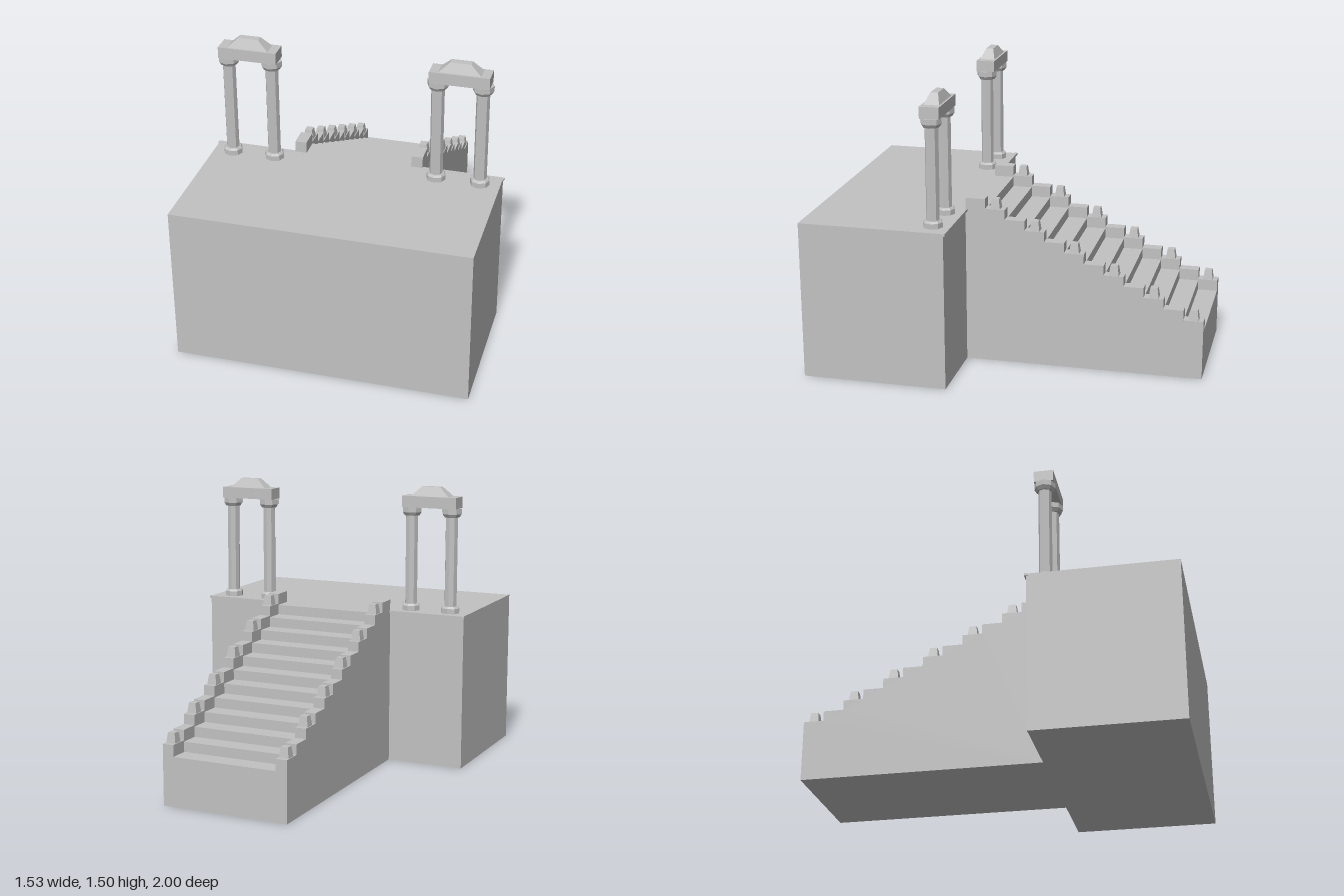
import * as THREE from 'three';

const stone = new THREE.MeshStandardMaterial({ color: 0xc2c2c2, flatShading: true });
stone.name = 'grey stone';

const FLOOR = 0.828, BACK = 0.245, STEPS = 12;
const RUN = (BACK + 1) / STEPS, RISE = 0.052;
const WALL_IN = 0.28, WALL_OUT = 0.34;

function add(parent, name, geometry, x = 0, y = 0, z = 0) {
  const mesh = new THREE.Mesh(geometry, stone);
  mesh.name = name;
  mesh.position.set(x, y, z);
  parent.add(mesh);
  return mesh;
}

// Box given by its bottom centre
function block(parent, name, w, h, d, x, y, z) {
  return add(parent, name, new THREE.BoxGeometry(w, h, d), x, y + h / 2, z);
}

// Four-sided frustum standing on y = 0, with unequal base sides
function frustum(w, d, h, topScale) {
  const r = Math.SQRT1_2;
  return new THREE.CylinderGeometry(r * topScale, r, 1, 4)
    .rotateY(Math.PI / 4).scale(w, h, d).translate(0, h / 2, 0);
}

// Stepped solid descending towards the back, between x0 and x1
function steppedSolid(topY, x0, x1) {
  const shape = new THREE.Shape();
  shape.moveTo(BACK, 0);
  for (let k = 0; k < STEPS; k++) {
    shape.lineTo(BACK - k * RUN, topY - k * RISE);
    shape.lineTo(BACK - (k + 1) * RUN, topY - k * RISE);
  }
  shape.lineTo(-1, 0);
  shape.closePath();
  return new THREE.ExtrudeGeometry(shape, { depth: x1 - x0, bevelEnabled: false })
    .rotateY(-Math.PI / 2).translate(x1, 0, 0);
}

// Octagonal column with base and capital, turned from one profile
function columnGeometry() {
  const profile = [
    [0, 0], [0.05, 0], [0.05, 0.027], [0.042, 0.037], [0.034, 0.037],
    [0.034, 0.512], [0.042, 0.512], [0.054, 0.53], [0.054, 0.558], [0, 0.558],
  ].map(([r, y]) => new THREE.Vector2(r, y));
  return new THREE.LatheGeometry(profile, 8);
}

export function createModel() {
  const model = new THREE.Group();
  model.name = 'stairway terrace';

  block(model, 'platform', 1.516, FLOOR, 1 - BACK, 0, 0, (1 + BACK) / 2);
  add(model, 'stairs', steppedSolid(FLOOR, -WALL_IN, WALL_IN));

  for (const side of [-1, 1]) {
    const prefix = side > 0 ? 'left' : 'right';

    // Thin lip along the back edge of the platform
    block(model, prefix + 'Lip', 0.763 - WALL_OUT, 0.013, 0.02,
      side * (0.763 + WALL_OUT) / 2, FLOOR - 0.012, 0.245);

    // Stepped side wall with a merlon on every second step
    const wall = new THREE.Group();
    wall.name = prefix + 'StairWall';
    model.add(wall);
    const wallTop = 0.888;
    const [x0, x1] = side > 0 ? [WALL_IN, WALL_OUT] : [-WALL_OUT, -WALL_IN];
    add(wall, 'wall', steppedSolid(wallTop, x0, x1));
    for (let k = 1; k < STEPS; k += 2) {
      add(wall, 'merlon', frustum(0.052, 0.052, RISE, 0.72),
        side * (WALL_IN + WALL_OUT) / 2, wallTop - k * RISE, BACK - (k + 0.5) * RUN);
    }

    // Gateway: two columns, a lintel and a hipped crown
    const gate = new THREE.Group();
    gate.name = prefix + 'Gateway';
    gate.position.set(side * 0.541, FLOOR, 0.325);
    model.add(gate);
    for (const dx of [-0.113, 0.113]) add(gate, 'column', columnGeometry(), dx);
    block(gate, 'lintel', 0.303, 0.06, 0.1, 0, 0.558, 0);
    add(gate, 'crown', frustum(0.212, 0.08, 0.05, 0.49), 0, 0.618, 0);
  }
  return model;
}
